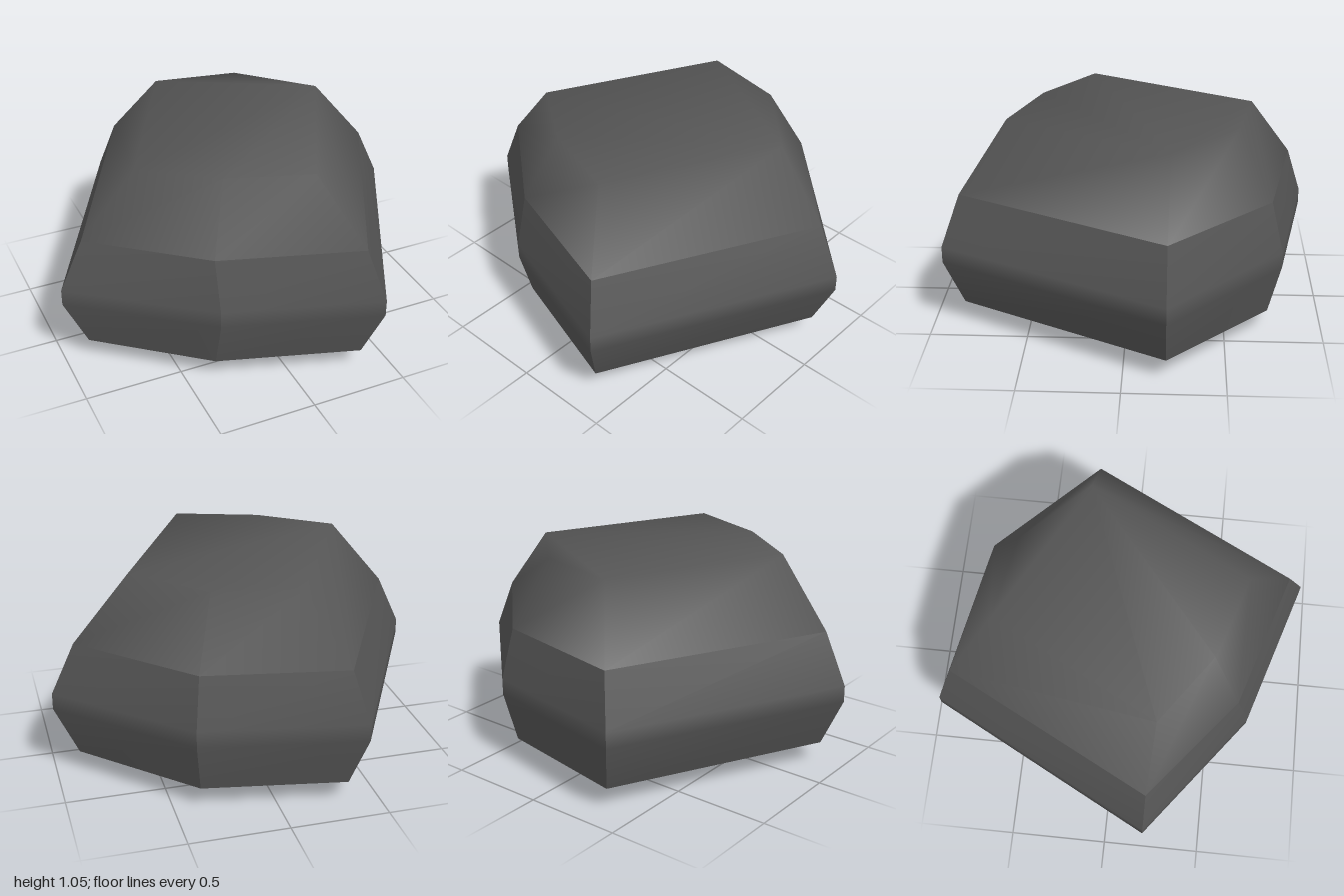
import * as THREE from 'three';

// Six-cornered plan outlines [x, z], anticlockwise seen from above
const BELT = [[1, -0.21], [0.40, -0.78], [-0.41, -0.93], [-1, 0.2], [-0.36, 0.69], [0.41, 0.93]];
const RIM = [[0.88, -0.21], [0.37, -0.72], [-0.34, -0.85], [-0.88, 0.2], [-0.36, 0.62], [0.34, 0.84]];
const CAP = [[0.60, -0.22], [0.27, -0.55], [-0.16, -0.63], [-0.60, 0.22], [-0.25, 0.47], [0.17, 0.61]];

const at = (outline, y) => outline.map(([x, z]) => [x, y, z]);

// Smooth skin over stacked cross-sections, listed from low to high
function skin(rings, { closed = false, top = false, bottom = false } = {}) {
  const n = rings[0].length;
  const index = [];
  for (let r = 0; r < rings.length - 1; r++) {
    for (let i = 0; i < (closed ? n : n - 1); i++) {
      const j = (i + 1) % n;
      const a = r * n + i, b = r * n + j, c = a + n, d = b + n;
      index.push(a, b, d, a, d, c);
    }
  }
  const last = (rings.length - 1) * n;
  for (let i = 1; i < n - 1; i++) {
    if (top) index.push(last, last + i, last + i + 1);
    if (bottom) index.push(0, i + 1, i);
  }
  const geometry = new THREE.BufferGeometry();
  geometry.setAttribute('position', new THREE.Float32BufferAttribute(rings.flat(2), 3));
  geometry.setIndex(index);
  geometry.computeVertexNormals();
  return geometry;
}

export function createModel() {
  const group = new THREE.Group();
  group.name = 'rock';
  const stone = new THREE.MeshStandardMaterial({ color: 0x555555 });
  stone.name = 'darkStone';

  const add = (name, geometry) => {
    const mesh = new THREE.Mesh(geometry, stone);
    mesh.name = name;
    group.add(mesh);
  };

  // Sloped crown and shallow underside, each smoothed as one surface
  add('crown', skin([at(RIM, 0.715), at(CAP, 1.055)], { closed: true, top: true }));
  add('underside', skin([at(CAP, 0), at(RIM, 0.11)], { closed: true, bottom: true }));

  // Bulging sides, with a sharp edge at each corner
  const levels = [at(RIM, 0.11), at(BELT, 0.37), at(BELT, 0.455), at(RIM, 0.715)];
  for (let i = 0; i < 6; i++) {
    add(`side${i + 1}`, skin(levels.map((ring) => [ring[i], ring[(i + 1) % 6]])));
  }
  return group;
}
